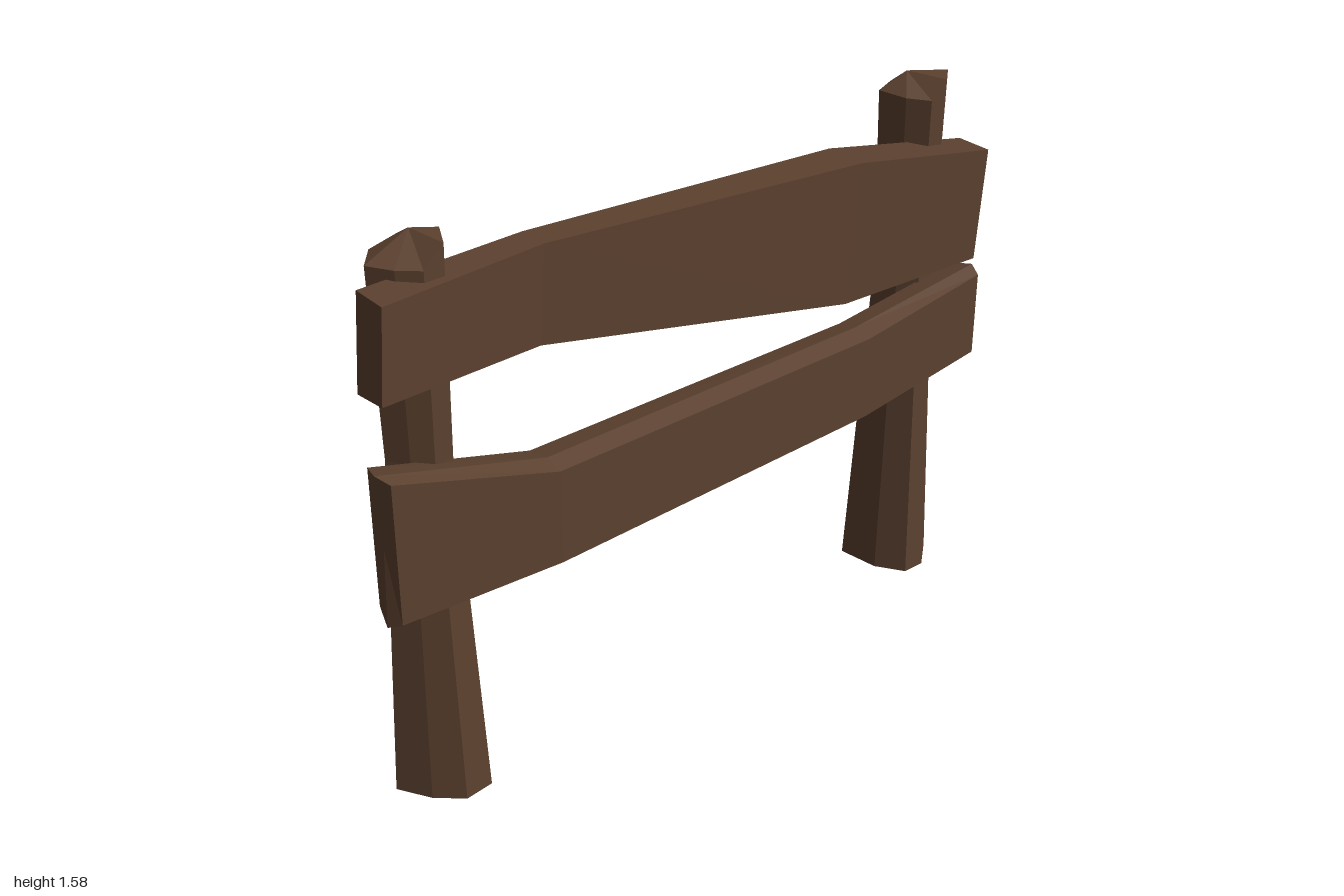
import * as THREE from 'three';

const wood = new THREE.MeshStandardMaterial({ color: 0x5c412f, flatShading: true });

// Skin a list of equal-length rings of [x, y, z]; each end closes to a centre point.
function loft(name, rings, endApex) {
  const n = rings[0].length, last = rings.length - 1;
  const mean = r => [0, 1, 2].map(k => r.reduce((s, p) => s + p[k], 0) / n);
  const startApex = mean(rings[0]);
  const apex = endApex || mean(rings[last]);
  const tris = [];
  for (let j = 0; j < n; j++) {
    const k = (j + 1) % n;
    for (let i = 0; i < last; i++) {
      const a = rings[i][j], b = rings[i][k], c = rings[i + 1][k], d = rings[i + 1][j];
      tris.push([a, b, c], [a, c, d]);
    }
    tris.push([startApex, rings[0][k], rings[0][j]], [apex, rings[last][j], rings[last][k]]);
  }
  // Turn all faces outward using the signed volume
  const v = p => new THREE.Vector3(...p);
  const volume = tris.reduce((s, [a, b, c]) => s + v(a).dot(v(b).cross(v(c))), 0);
  if (volume < 0) tris.forEach(t => t.reverse());
  const geo = new THREE.BufferGeometry();
  geo.setAttribute('position', new THREE.Float32BufferAttribute(tris.flat(2), 3));
  geo.computeVertexNormals();
  const mesh = new THREE.Mesh(geo, wood);
  mesh.name = name;
  return mesh;
}

// Rough-hewn post: base outline [x, z, topHeight] narrowed at the waist, with a chipped top
function post(name, outline, centre, apex) {
  const ring = (scale, height) => outline.map(([x, z, top]) => [
    centre[0] + (x - centre[0]) * scale,
    height ?? top,
    centre[1] + (z - centre[1]) * scale,
  ]);
  return loft(name, [ring(1, 0), ring(0.65, 1), ring(0.73)], apex);
}

export function createModel() {
  const group = new THREE.Group();
  const low = 1.525, high = 1.575;

  group.add(post('frontPost', [
    [-0.175, 0.73, low], [-0.125, 0.87, low], [-0.03, 0.945, low], [0.06, 0.89, low],
    [0.12, 0.82, low], [0.11, 0.735, high], [0, 0.68, high],
  ], [-0.03, 0.8], [-0.05, high, 0.77]));

  group.add(post('backPost', [
    [-0.125, -1, low], [-0.16, -0.85, low], [-0.115, -0.745, low], [0.01, -0.765, low],
    [0.09, -0.82, low], [0.09, -0.89, high], [0.02, -0.97, high],
  ], [-0.03, -0.87], [-0.06, high, -0.85]));

  // Upper plank: [zTop, zBottom, yTop, yBottom, xInner, xOuter]
  group.add(loft('upperRail', [
    [0.965, 0.985, 1.505, 1.255, 0.03, 0.14],
    [0.45, 0.47, 1.47, 1.2, -0.055, 0.035],
    [-0.54, -0.5, 1.435, 1.03, -0.03, 0.1],
    [-0.985, -0.96, 1.37, 1.045, 0.03, 0.14],
  ].map(([zt, zb, yt, yb, xi, xo]) => [
    [xi, yt, zt], [xo, yt, zt], [xo, yb, zb], [xi, yb - 0.012, zb],
  ])));

  // Lower plank, ridged along top and bottom: [zRidge, zSide, yTop, yBottom, xInner, xRidge, xOuter]
  group.add(loft('lowerRail', [
    [1, 0.98, 1.06, 0.625, 0.035, 0.1, 0.14],
    [0.52, 0.52, 0.935, 0.63, 0.04, 0.115, 0.17],
    [-0.53, -0.53, 0.955, 0.675, 0.05, 0.115, 0.17],
    [-1, -0.985, 1, 0.715, 0.035, 0.1, 0.14],
  ].map(([zr, zs, yt, yb, xi, xr, xo]) => [
    [xi, yt - 0.015, zs], [xr, yt, zr], [xo, yt - 0.015, zs],
    [xo, yb + 0.02, zs], [xr, yb, zr], [xi, yb + 0.02, zs],
  ])));

  return group;
}
